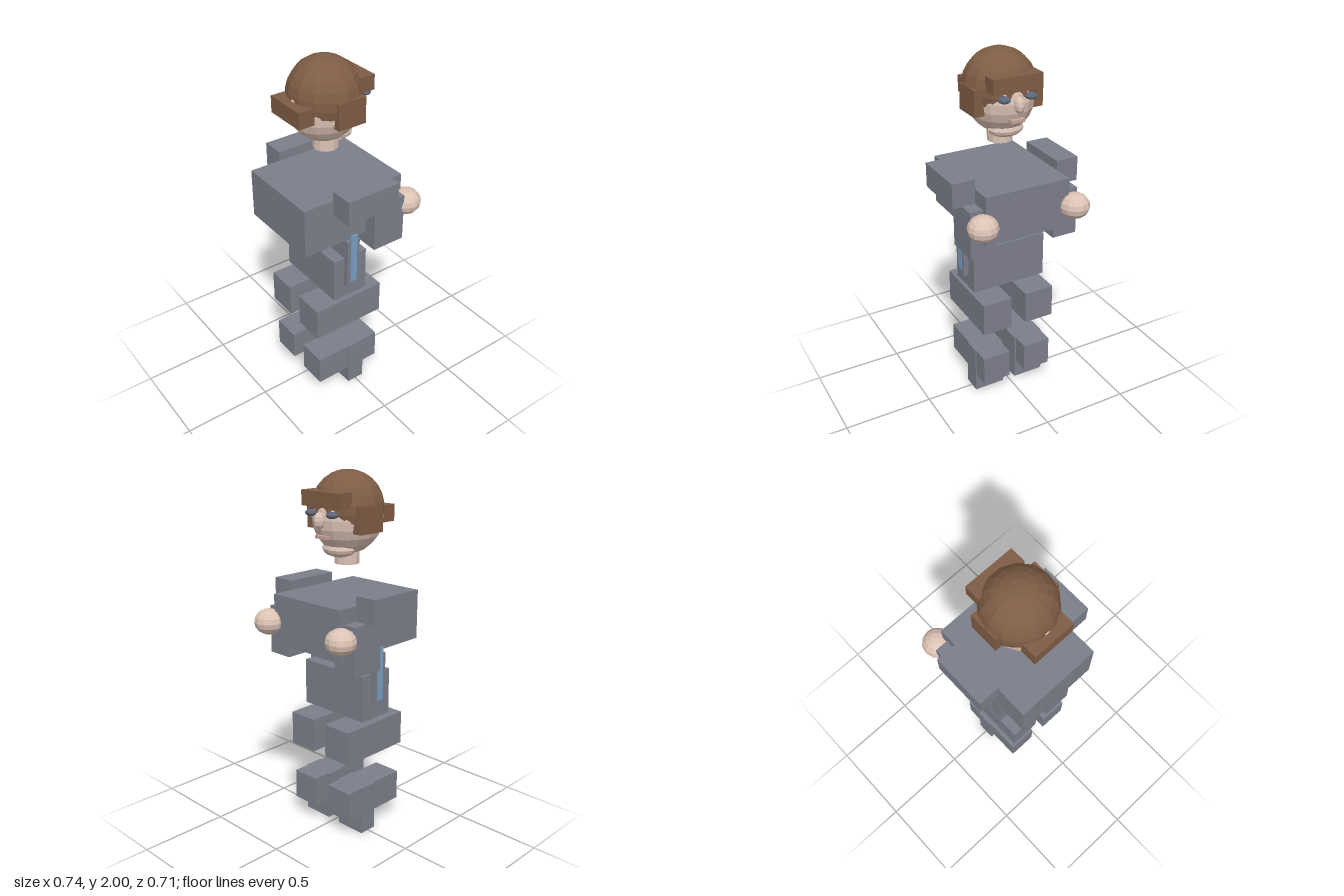
import * as THREE from 'three';

const mat = (name, color) => {
  const m = new THREE.MeshStandardMaterial({ color, flatShading: true });
  m.name = name;
  return m;
};

export function createModel() {
  const model = new THREE.Group();
  model.name = 'blockFigure';
  const suit = mat('suit grey', 0x7c7e8b);
  const skin = mat('skin', 0xdcc3b5);
  const hair = mat('hair brown', 0x7f5d45);
  const blue = mat('belt blue', 0x78a0c4);
  const eyeColor = mat('eye slate', 0x5f6678);
  const lips = mat('lips', 0xc6a598);

  const add = (name, geometry, material) => {
    const mesh = new THREE.Mesh(geometry, material);
    mesh.name = name;
    model.add(mesh);
    return mesh;
  };
  // Box given by its extents on each axis
  const box = (name, material, [x0, x1], [y0, y1], [z0, z1]) =>
    add(name, new THREE.BoxGeometry(x1 - x0, y1 - y0, z1 - z0), material)
      .position.set((x0 + x1) / 2, (y0 + y1) / 2, (z0 + z1) / 2);
  // Faceted ellipsoid, optionally cut off below an angle
  const ball = (name, material, center, radii, w = 14, h = 10, cut = Math.PI) => {
    const g = new THREE.SphereGeometry(1, w, h, 0, Math.PI * 2, 0, cut);
    g.scale(...radii);
    add(name, g, material).position.set(...center);
  };
  // The same box on both sides
  const pair = (name, material, [x0, x1], y, z) => {
    box(name + 'Left', material, [x0, x1], y, z);
    box(name + 'Right', material, [-x1, -x0], y, z);
  };

  // Head and neck
  ball('head', skin, [0, 1.755, 0.055], [0.178, 0.195, 0.2], 16, 12);
  ball('jaw', skin, [0, 1.595, -0.01], [0.1, 0.045, 0.08], 12, 8);
  add('neck', new THREE.CylinderGeometry(0.068, 0.068, 0.15, 12), skin)
    .position.set(0, 1.585, 0.05);

  // Face
  ball('nose', skin, [0, 1.755, -0.152], [0.028, 0.044, 0.034], 8, 6);
  box('mouth', lips, [-0.04, 0.04], [1.66, 1.677], [-0.145, -0.1]);
  for (const [side, s] of [['Left', 1], ['Right', -1]]) {
    ball('eye' + side, eyeColor, [s * 0.076, 1.788, -0.135], [0.033, 0.018, 0.035], 10, 6);
  }
  pair('eyebrow', hair, [0.035, 0.12], [1.835, 1.85], [-0.15, -0.14]);

  // Hair: a cap with blocky fringe, side and back locks
  ball('hairCap', hair, [0, 1.803, 0.055], [0.197, 0.197, 0.193], 14, 8, Math.PI * 0.6);
  box('hairFringe', hair, [-0.14, 0.14], [1.82, 1.9], [-0.145, -0.058]);
  box('hairBack', hair, [-0.12, 0.12], [1.72, 1.81], [0.2, 0.29]);
  pair('hairSide', hair, [0.14, 0.198], [1.69, 1.83], [-0.05, 0.112]);

  // Torso
  box('chest', suit, [-0.245, 0.245], [1.075, 1.35], [-0.257, 0.355]);
  box('waist', suit, [-0.25, 0.25], [0.76, 1.055], [0.012, 0.09]);
  box('belt', blue, [-0.253, 0.253], [0.79, 1.09], [0.03, 0.07]);
  box('pelvis', suit, [-0.22, 0.22], [0.68, 0.94], [-0.055, 0.157]);

  // Arms
  pair('shoulder', suit, [0.242, 0.372], [1.265, 1.402], [-0.135, 0.18]);
  pair('arm', suit, [0.175, 0.319], [1.0, 1.268], [-0.222, -0.03]);
  for (const [side, s] of [['Left', 1], ['Right', -1]]) {
    ball('hand' + side, skin, [s * 0.272, 1.195, -0.273], [0.083, 0.071, 0.083], 12, 8);
  }

  // Legs
  pair('thigh', suit, [0.045, 0.219], [0.46, 0.65], [-0.165, 0.27]);
  pair('calf', suit, [0.05, 0.214], [0.11, 0.28], [-0.15, 0.253]);
  pair('shin', suit, [0.04, 0.22], [0, 0.281], [-0.053, 0.052]);

  return model;
}
